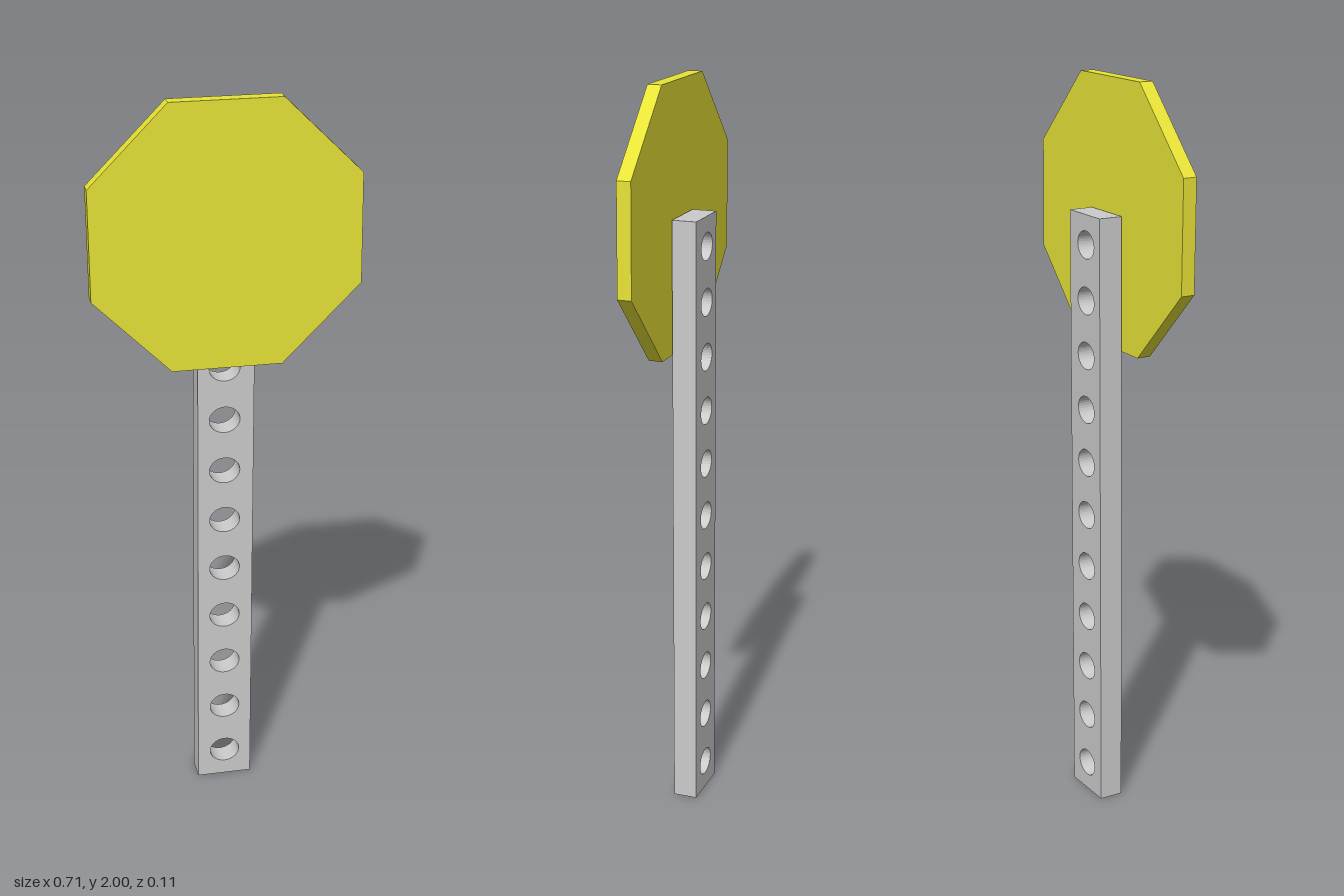
import * as THREE from 'three';

const polygon = (points) => new THREE.Shape(points.map(([x, y]) => new THREE.Vector2(x, y)));

// Flat plate cut from a shape, from zBack towards the front
function plate(name, shape, zBack, depth, color) {
  const geometry = new THREE.ExtrudeGeometry(shape, { depth, bevelEnabled: false, curveSegments: 16 });
  geometry.translate(0, 0, zBack);
  const mesh = new THREE.Mesh(geometry, new THREE.MeshStandardMaterial({ color }));
  mesh.name = name;
  return mesh;
}

export function createModel() {
  const group = new THREE.Group();
  group.name = 'roadSign';

  // Post: very slightly leaning bar with a row of punched holes
  const post = polygon([[-0.078, 0], [0.075, 0], [0.082, 1.65], [-0.071, 1.65]]);
  for (let i = 0; i < 11; i++) {
    const hole = new THREE.Path();
    hole.absellipse(0, 0.08 + i * 0.149, 0.042, 0.037, 0, Math.PI * 2, true);
    post.holes.push(hole);
  }
  group.add(plate('post', post, -0.054, 0.066, 0xcccccc));

  // Octagonal sign board, mounted just in front of the post
  const board = polygon([
    [-0.148, 1.29], [0.146, 1.29], [0.355, 1.5], [0.352, 1.795],
    [0.143, 2], [-0.151, 2], [-0.358, 1.79], [-0.355, 1.495],
  ]);
  group.add(plate('signBoard', board, 0.015, 0.038, 0xe8e337));

  return group;
}
